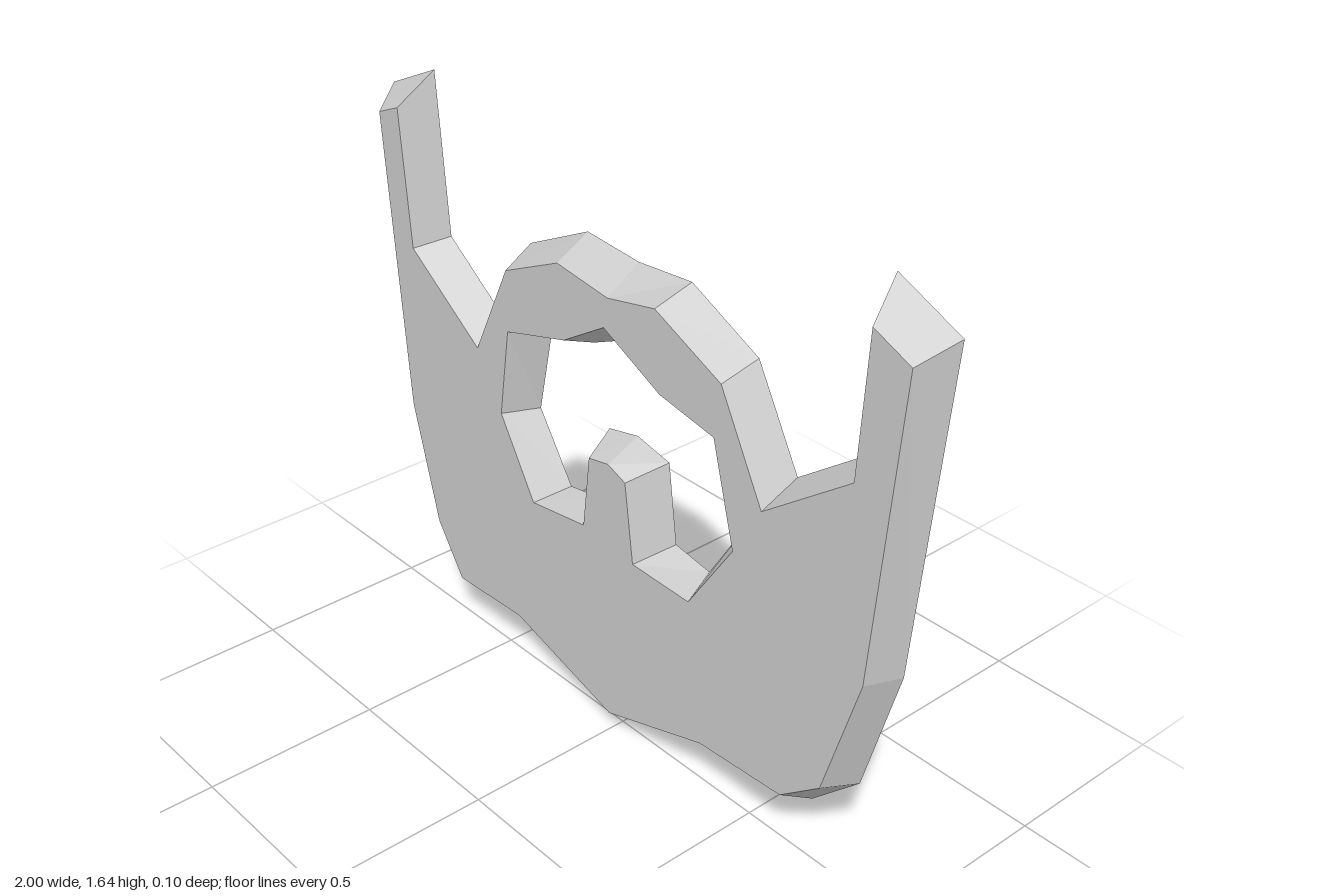
import * as THREE from 'three';

const HALF_DEPTH = 0.05;

// Each corner: back x, back y, front x, front y (the front face is bevelled inward)
const OUTLINE = [ // counter-clockwise from the bottom point
  [0, 0, 0, 0.055], [0.38, 0.115, 0.36, 0.17], [0.67, 0.13, 0.65, 0.185],
  [0.82, 0.275, 0.78, 0.29], [0.925, 0.655, 0.89, 0.66],
  [1, 1.555, 0.955, 1.505], [0.81, 1.64, 0.84, 1.555], // left arm tip
  [0.77, 1.18, 0.82, 1.17], [0.56, 1.025, 0.545, 0.965],
  [0.42, 1.28, 0.40, 1.24], [0.19, 1.39, 0.17, 1.345], [0, 1.375, 0, 1.31], // head arch
  [-0.19, 1.39, -0.19, 1.335], [-0.42, 1.28, -0.40, 1.24],
  [-0.555, 1.025, -0.535, 0.965], [-0.77, 1.18, -0.81, 1.16],
  [-0.81, 1.64, -0.845, 1.55], [-1, 1.555, -0.93, 1.515], // right arm tip
  [-0.92, 0.655, -0.855, 0.66], [-0.82, 0.275, -0.76, 0.31],
  [-0.67, 0.13, -0.66, 0.16], [-0.38, 0.115, -0.39, 0.17],
];
const OPENING = [ // clockwise from the top, with a tongue rising from below
  [0, 1.165, -0.015, 1.225], [0.17, 1.09, 0.19, 1.125], [0.35, 1.035, 0.38, 1.09],
  [0.395, 0.805, 0.455, 0.81], [0.275, 0.615, 0.305, 0.585], [0.15, 0.635, 0.095, 0.59],
  [0.12, 0.865, 0.065, 0.82], [0, 0.89, 0, 0.845], [-0.11, 0.865, -0.075, 0.83],
  [-0.15, 0.635, -0.10, 0.615], [-0.27, 0.615, -0.31, 0.585], [-0.395, 0.805, -0.44, 0.805],
  [-0.345, 1.035, -0.40, 1.065], [-0.17, 1.09, -0.17, 1.13],
];

const backPoint = (p) => new THREE.Vector3(p[0], p[1], -HALF_DEPTH);
const frontPoint = (p) => new THREE.Vector3(p[2], p[3], HALF_DEPTH);

function bevelledPlate(outline, opening) {
  const triangles = [];

  // Flat front and back faces with the opening cut out
  const addFace = (toPoint, reversed) => {
    const flat = (loop) => loop.map((p) => new THREE.Vector2(toPoint(p).x, toPoint(p).y));
    const points = [...outline, ...opening].map(toPoint);
    for (const [a, b, c] of THREE.ShapeUtils.triangulateShape(flat(outline), [flat(opening)])) {
      triangles.push(points[a], points[reversed ? c : b], points[reversed ? b : c]);
    }
  };
  addFace(frontPoint, false);
  addFace(backPoint, true);

  // Sloping walls around the rim and the opening
  for (const loop of [outline, opening]) {
    loop.forEach((p, i) => {
      const q = loop[(i + 1) % loop.length];
      const [b0, b1, f1, f0] = [backPoint(p), backPoint(q), frontPoint(q), frontPoint(p)];
      triangles.push(b0, b1, f1, b0, f1, f0);
    });
  }

  const geometry = new THREE.BufferGeometry().setFromPoints(triangles);
  geometry.computeVertexNormals();
  return geometry;
}

export function createModel() {
  const group = new THREE.Group();
  group.name = 'emblem';
  const material = new THREE.MeshStandardMaterial({ color: 0xcccccc, flatShading: true });
  const plate = new THREE.Mesh(bevelledPlate(OUTLINE, OPENING), material);
  plate.name = 'bevelledPlate';
  group.add(plate);
  return group;
}
